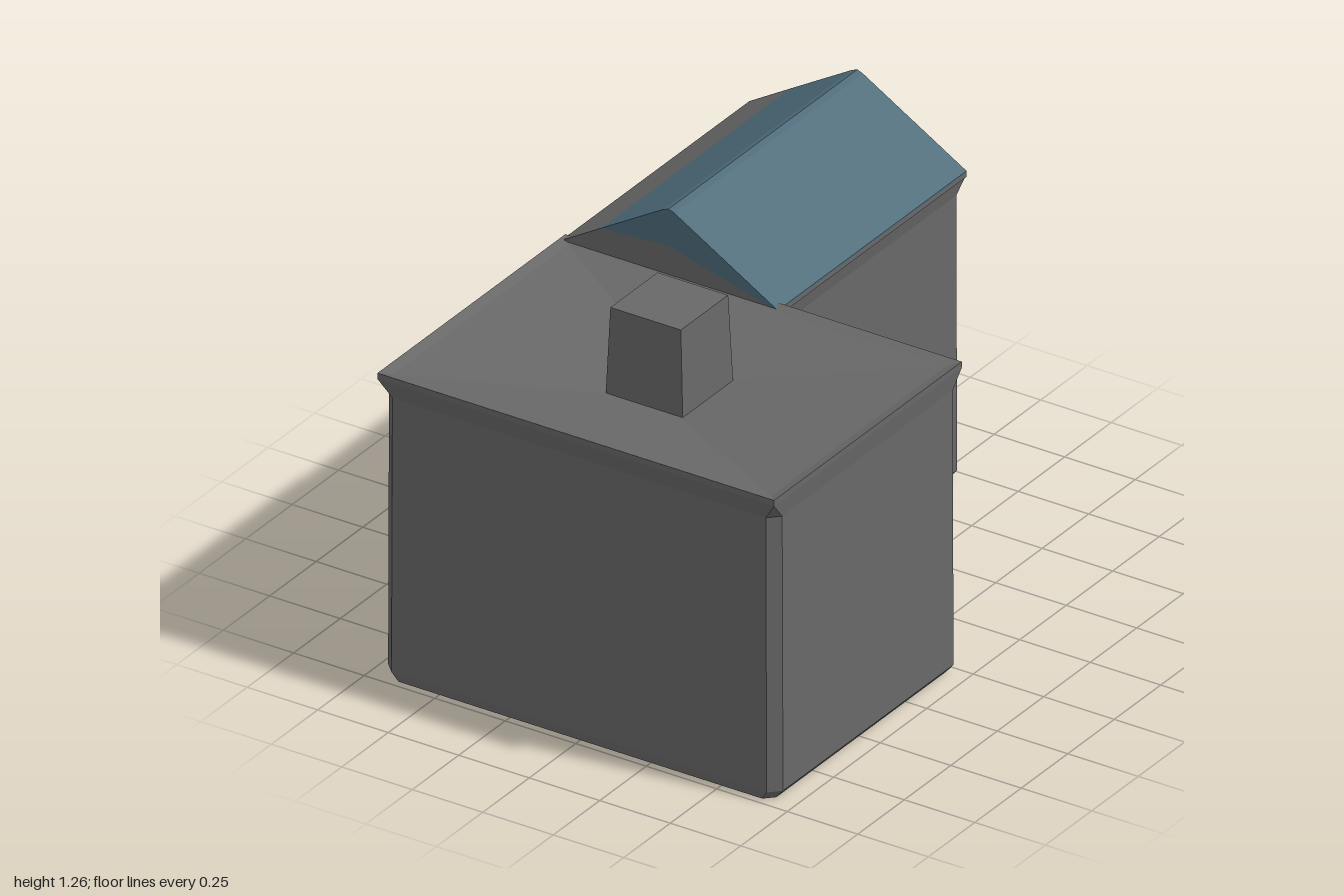
import * as THREE from 'three';

const grey = new THREE.MeshStandardMaterial({ color: 0x686868, flatShading: true });
const blue = new THREE.MeshStandardMaterial({ color: 0x4d6b79, flatShading: true });

// Chamfered rectangle in plan at height y, counter-clockwise seen from above
function ring(x0, x1, z0, z1, c, y) {
  return [
    [x0 + c, y, z1], [x1 - c, y, z1], [x1, y, z1 - c], [x1, y, z0 + c],
    [x1 - c, y, z0], [x0 + c, y, z0], [x0, y, z0 + c], [x0, y, z1 - c],
  ];
}

// Skin a stack of rings, closing the bottom and the top
function loft(rings, name) {
  const n = rings[0].length, last = (rings.length - 1) * n, index = [];
  for (let r = 0; r < rings.length - 1; r++) {
    for (let i = 0; i < n; i++) {
      const a = r * n + i, b = r * n + (i + 1) % n;
      index.push(a, b, b + n, a, b + n, a + n);
    }
  }
  for (let i = 1; i < n - 1; i++) {
    index.push(0, i + 1, i, last, last + i, last + i + 1);
  }
  const geo = new THREE.BufferGeometry();
  geo.setAttribute('position', new THREE.Float32BufferAttribute(rings.flat(2), 3));
  geo.setIndex(index);
  geo.computeVertexNormals();
  const mesh = new THREE.Mesh(geo, grey);
  mesh.name = name;
  return mesh;
}

// Part of the wing roof: an outline in x and y, run along z
function roofPart(points, material, name) {
  const shape = new THREE.Shape(points.map(([x, y]) => new THREE.Vector2(x, y)));
  const geo = new THREE.ExtrudeGeometry(shape, { depth: 1.015, bevelEnabled: false });
  const mesh = new THREE.Mesh(geo, material);
  mesh.position.z = -1;
  mesh.name = name;
  return mesh;
}

export function createModel() {
  const house = new THREE.Group();
  house.name = 'house';

  // Main block: bevelled foot, chamfered corners, flared cornice, roof dipping to the chimney
  house.add(loft([
    ring(-0.675, 0.675, 0, 0.975, 0.03, 0),
    ring(-0.7, 0.7, -0.005, 0.982, 0.035, 0.03),
    ring(-0.697, 0.697, -0.005, 0.982, 0.035, 0.96),
    ring(-0.703, 0.703, -0.01, 1, 0, 1.02),
    ring(-0.703, 0.703, -0.01, 1, 0, 1.04),
    ring(-0.67, 0.67, 0.025, 0.965, 0, 1.03),
    ring(-0.14, 0.14, 0.35, 0.64, 0, 0.975),
  ], 'mainBlock'));

  // Chimney, slightly tapered
  house.add(loft([
    ring(-0.137, 0.137, 0.36, 0.632, 0, 0.96),
    ring(-0.125, 0.125, 0.37, 0.624, 0, 1.265),
  ], 'chimney'));

  // Rear wing walls
  house.add(loft([
    ring(-0.68, 0.035, -0.965, 0.03, 0.02, 0),
    ring(-0.697, 0.058, -0.988, 0.03, 0.025, 0.03),
    ring(-0.695, 0.055, -0.988, 0.03, 0.025, 0.96),
    ring(-0.702, 0.065, -1, 0.02, 0, 1.015),
  ], 'wingWalls'));

  // Gabled wing roof: coloured above, plain along the left eave and lower gables
  house.add(roofPart([
    [0.067, 1.025], [0.067, 1.03], [-0.3, 1.247], [-0.32, 1.255], [-0.34, 1.247], [-0.56, 1.116],
    [-0.32, 1.13],
  ], blue, 'wingRoof'));
  house.add(roofPart([
    [-0.703, 1.01], [0.067, 1.01], [0.067, 1.025], [-0.32, 1.13], [-0.56, 1.116], [-0.703, 1.03],
  ], grey, 'wingEave'));

  return house;
}
